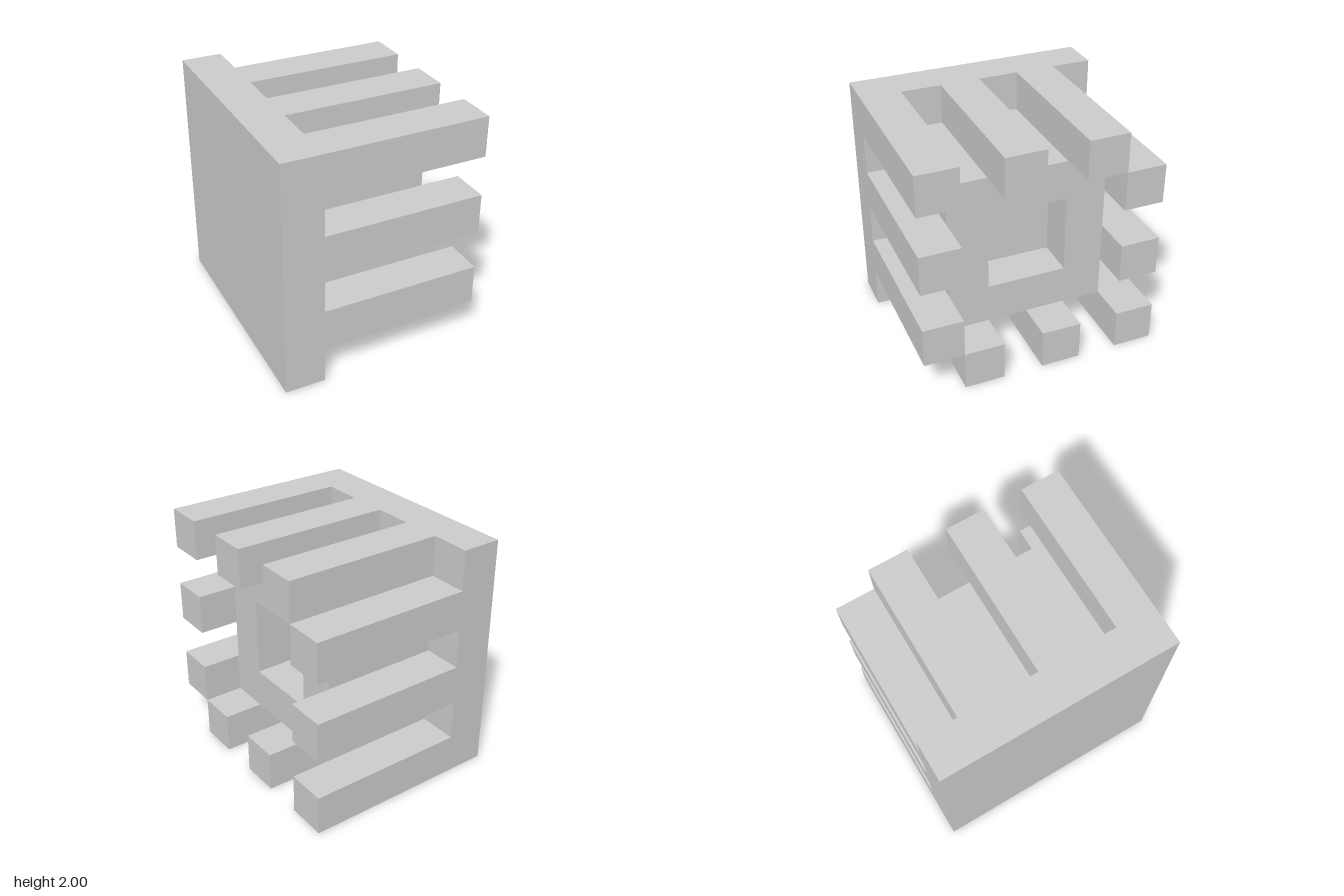
import * as THREE from 'three';

const U = 1 / 3; // every dimension is a multiple of this cell (half cells along x)
const material = new THREE.MeshStandardMaterial({ color: 0xcccccc, flatShading: true });

// Box spanning x0..x1, centred on (y, z)
function bar(name, x0, x1, y, z, h, d) {
  const mesh = new THREE.Mesh(new THREE.BoxGeometry(x1 - x0, h, d), material);
  mesh.name = name;
  mesh.position.set((x0 + x1) / 2, y, z);
  return mesh;
}

function squarePath(PathType, r) {
  return new PathType([[-r, -r], [r, -r], [r, r], [-r, r]].map(([a, b]) => new THREE.Vector2(a, b)));
}

export function createModel() {
  const group = new THREE.Group();
  group.name = 'interlockingBlock';

  // Solid end plate
  group.add(bar('endPlate', -2.5 * U, -1.5 * U, 1, 0, 2, 2));

  // Core block, with a square recess in its outer end
  group.add(bar('coreBase', -1.5 * U, 0.5 * U, 1, 0, 4 * U, 4 * U));
  const frame = squarePath(THREE.Shape, 2 * U);
  frame.holes.push(squarePath(THREE.Path, U));
  const rim = new THREE.Mesh(
    new THREE.ExtrudeGeometry(frame, { depth: U, bevelEnabled: false }).rotateY(Math.PI / 2),
    material
  );
  rim.name = 'coreRim';
  rim.position.set(0.5 * U, 1, 0);
  group.add(rim);

  // Fingers on alternate cells around the border of a 6 x 6 grid
  const fingers = new THREE.Group();
  fingers.name = 'fingers';
  for (let i = 0; i < 6; i++) {
    for (let j = 0; j < 6; j++) {
      const onBorder = i === 0 || i === 5 || j === 0 || j === 5;
      if (!onBorder || (i + j) % 2) continue;
      fingers.add(bar('finger', -1.5 * U, 2.5 * U, (j + 0.5) * U, (i + 0.5) * U - 1, U, U));
    }
  }
  group.add(fingers);
  return group;
}
